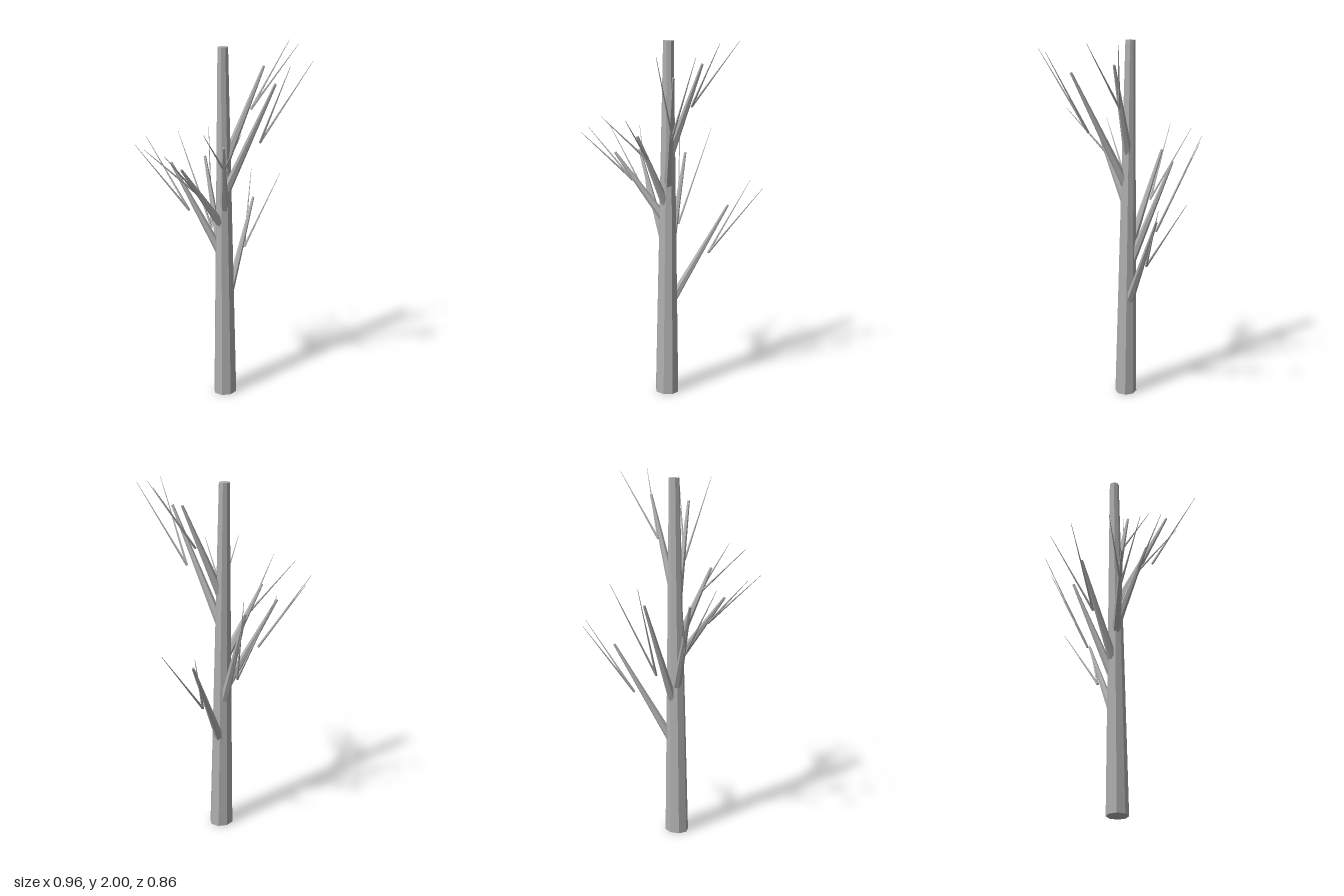
import * as THREE from 'three';

const bark = new THREE.MeshStandardMaterial({ color: 0xb0b0b0, flatShading: true });
bark.name = 'grey bark';

// Tapered faceted limb running between two points
function limb(name, from, to, r0, r1, sides) {
  const a = new THREE.Vector3(...from), b = new THREE.Vector3(...to);
  const dir = b.clone().sub(a);
  const mesh = new THREE.Mesh(new THREE.CylinderGeometry(r1, r0, dir.length(), sides), bark);
  mesh.name = name;
  mesh.position.copy(a).add(b).multiplyScalar(0.5);
  mesh.quaternion.setFromUnitVectors(new THREE.Vector3(0, 1, 0), dir.normalize());
  return mesh;
}

// Each branch: base height on the trunk, cut end, twig fork, two twig tips
const branches = [
  { base: 0.5, end: [0.285, 1.08, -0.2], fork: [0.19, 0.81, -0.145], tips: [[0.37, 1.195, -0.355], [0.48, 1.19, -0.215]] },
  { base: 0.72, end: [0.01, 1.345, -0.275], fork: [0, 0.95, -0.19], tips: [[-0.075, 1.47, -0.43], [0.12, 1.47, -0.418]] },
  { base: 0.81, end: [-0.24, 1.36, -0.21], fork: [-0.165, 1.09, -0.15], tips: [[-0.302, 1.475, -0.375], [-0.434, 1.475, -0.253]] },
  { base: 0.99, end: [-0.3, 1.38, 0.01], fork: [-0.2, 1.23, 0], tips: [[-0.483, 1.5, -0.05], [-0.455, 1.5, 0.115]] },
  { base: 1.07, end: [-0.12, 1.5, 0.14], fork: [-0.08, 1.36, 0.08], tips: [[-0.12, 1.61, 0.31], [-0.29, 1.61, 0.225]] },
  { base: 1.18, end: [0.12, 1.83, 0.255], fork: [0.085, 1.51, 0.17], tips: [[0.09, 1.95, 0.427], [0.272, 1.95, 0.365]] },
  { base: 1.35, end: [0.2, 1.88, 0.025], fork: [0.135, 1.65, 0.002], tips: [[0.388, 2, -0.01], [0.33, 2, 0.152]] },
];

export function createModel() {
  const tree = new THREE.Group();
  tree.name = 'bareTree';

  // Trunk, slightly flattened front to back and leaning back
  const trunkGeo = new THREE.CylinderGeometry(0.03, 0.068, 1.988, 8);
  trunkGeo.scale(1, 1, 0.88);
  trunkGeo.translate(-0.011, 0.994, -0.024);
  const p = trunkGeo.attributes.position;
  for (let i = 0; i < p.count; i++) p.setZ(i, p.getZ(i) - 0.011 * p.getY(i));
  trunkGeo.computeVertexNormals();
  const trunk = new THREE.Mesh(trunkGeo, bark);
  trunk.name = 'trunk';
  tree.add(trunk);

  // Cut branches, each with a pair of pointed twigs
  for (const { base, end, fork, tips } of branches) {
    const group = new THREE.Group();
    group.name = 'branch';
    group.add(limb('branchStem', [-0.01, base, -0.024 - 0.011 * base], end, 0.026, 0.007, 6));
    for (const tip of tips) group.add(limb('twig', fork, tip, 0.007, 0.001, 5));
    tree.add(group);
  }
  return tree;
}
